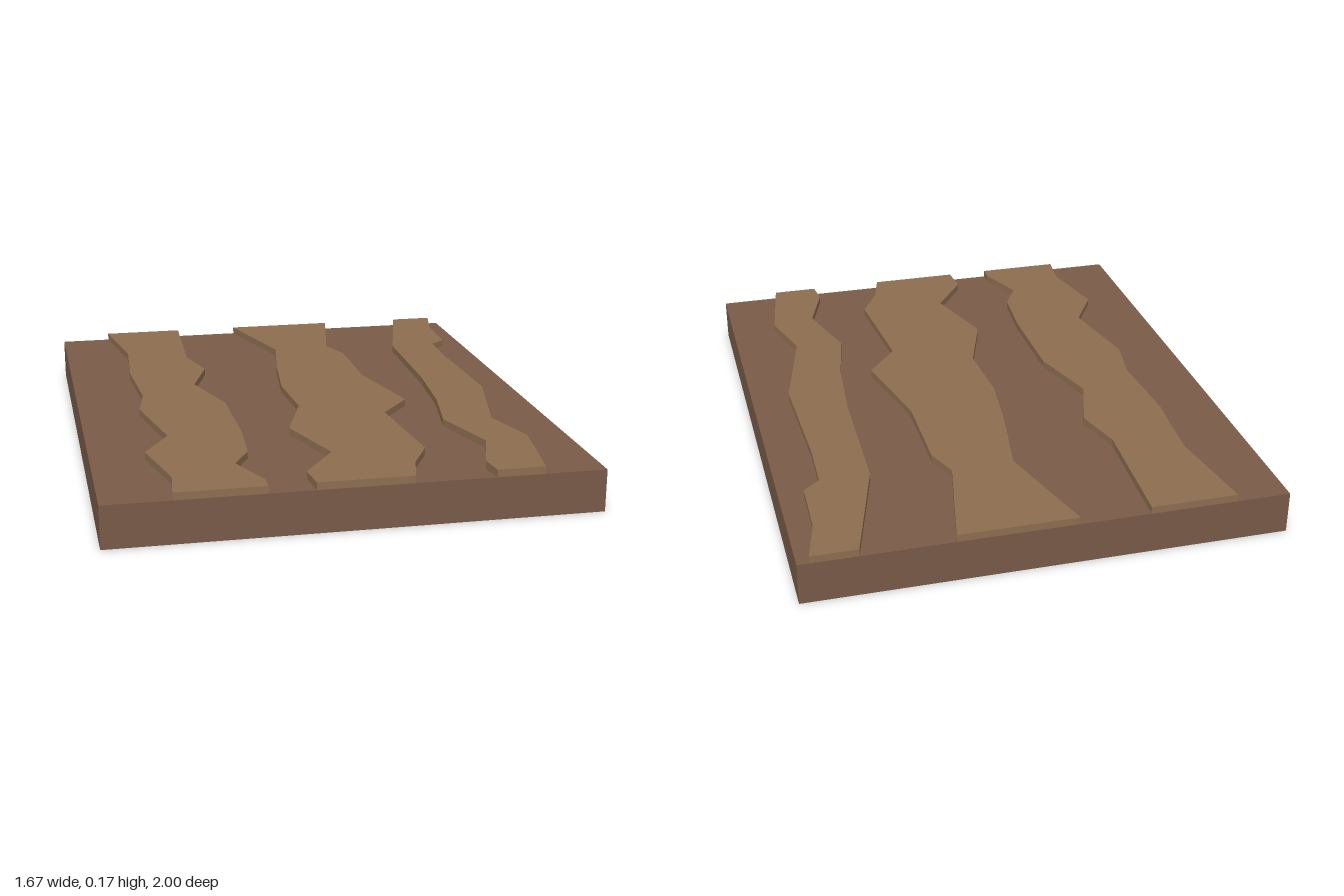
import * as THREE from 'three';

const BASE_TOP = 0.148;
const TOP = 0.174;

// Left and right outline of each bark ridge as [x, z], running from back to front
const RIDGES = [
  {
    name: 'ridgeRight',
    left: [[-0.645, -1], [-0.59, -0.65], [-0.61, -0.36], [-0.59, -0.05], [-0.62, 0.12], [-0.555, 0.44], [-0.65, 0.6], [-0.59, 0.86], [-0.605, 1]],
    right: [[-0.34, -1], [-0.36, -0.55], [-0.31, -0.37], [-0.38, -0.16], [-0.3, 0.1], [-0.295, 0.45], [-0.31, 0.66], [-0.37, 0.77], [-0.3, 0.94], [-0.3, 1]],
  },
  {
    name: 'ridgeMiddle',
    left: [[-0.095, -1], [0.02, -0.6], [-0.025, -0.33], [-0.055, -0.07], [-0.04, 0.19], [-0.125, 0.44], [-0.035, 0.72], [-0.155, 0.89], [-0.145, 1]],
    right: [[0.32, -1], [0.24, -0.61], [0.285, -0.49], [0.285, -0.16], [0.365, 0.19], [0.25, 0.33], [0.285, 0.74], [0.215, 0.87], [0.18, 1]],
  },
  {
    name: 'ridgeLeft',
    left: [[0.635, -1], [0.515, -0.56], [0.505, -0.08], [0.48, 0.21], [0.435, 0.45], [0.51, 0.71], [0.445, 0.91], [0.455, 1]],
    right: [[0.795, -1], [0.755, -0.83], [0.75, -0.61], [0.69, -0.56], [0.685, -0.36], [0.7, 0.08], [0.61, 0.47], [0.67, 0.68], [0.62, 1]],
  },
];

export function createModel() {
  const group = new THREE.Group();
  group.name = 'barkPanel';
  const baseMaterial = new THREE.MeshStandardMaterial({ color: 0x795a47, flatShading: true });
  const ridgeMaterial = new THREE.MeshStandardMaterial({ color: 0x8d6e50, flatShading: true });

  // Flat slab
  const base = new THREE.Mesh(new THREE.BoxGeometry(1.67, BASE_TOP, 2), baseMaterial);
  base.name = 'baseSlab';
  base.position.y = BASE_TOP / 2;
  group.add(base);

  // Raised jagged ridges, drawn in plan and extruded upward
  for (const { name, left, right } of RIDGES) {
    const outline = [...left, ...[...right].reverse()];
    const shape = new THREE.Shape(outline.map(([x, z]) => new THREE.Vector2(x, -z)));
    const geometry = new THREE.ExtrudeGeometry(shape, { depth: TOP - BASE_TOP, bevelEnabled: false });
    geometry.rotateX(-Math.PI / 2);
    const ridge = new THREE.Mesh(geometry, ridgeMaterial);
    ridge.name = name;
    ridge.position.y = BASE_TOP;
    group.add(ridge);
  }
  return group;
}
